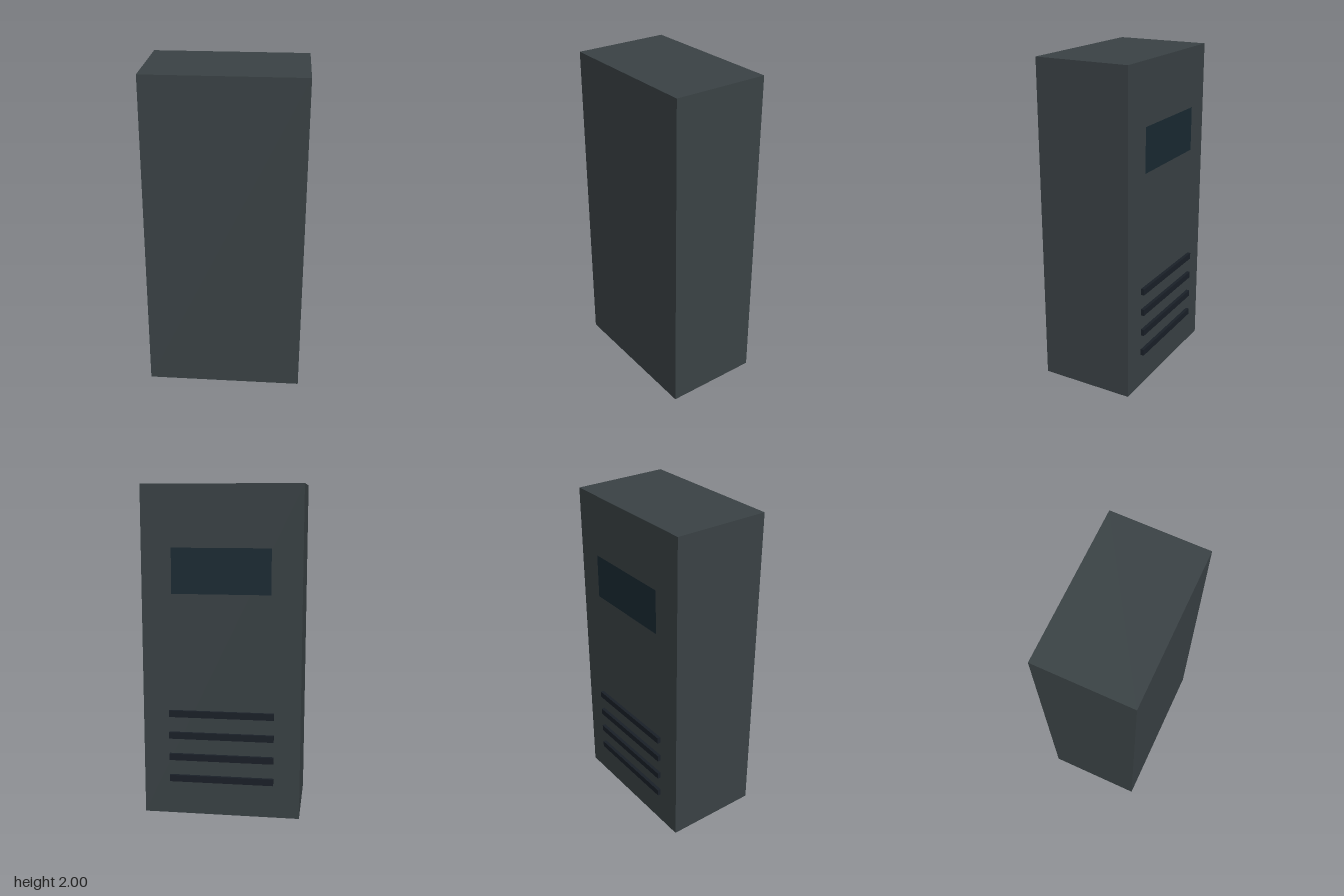
import * as THREE from 'three';

const material = (color) => new THREE.MeshStandardMaterial({ color });

export function createModel() {
  const group = new THREE.Group();
  group.name = 'cabinet';

  const add = (name, geometry, mat, x, y, z) => {
    const mesh = new THREE.Mesh(geometry, mat);
    mesh.name = name;
    mesh.position.set(x, y, z);
    group.add(mesh);
    return mesh;
  };

  // Plain upright case
  const backZ = -0.285;
  add('case', new THREE.BoxGeometry(0.952, 2, 0.59), material(0x3a4245), 0, 1, 0.01);

  // Thin display panel just off the back face
  const panel = add('displayPanel', new THREE.PlaneGeometry(0.59, 0.27), material(0x1a2a33), 0, 1.5, backZ - 0.01);
  panel.rotation.y = Math.PI;

  // Four raised vent slats below the panel
  const slatGeometry = new THREE.BoxGeometry(0.635, 0.04, 0.04);
  const slatMaterial = material(0x1a2028);
  for (let i = 0; i < 4; i++) {
    add(`ventSlat${i + 1}`, slatGeometry, slatMaterial, 0, 0.229 + i * 0.136, backZ);
  }

  return group;
}
